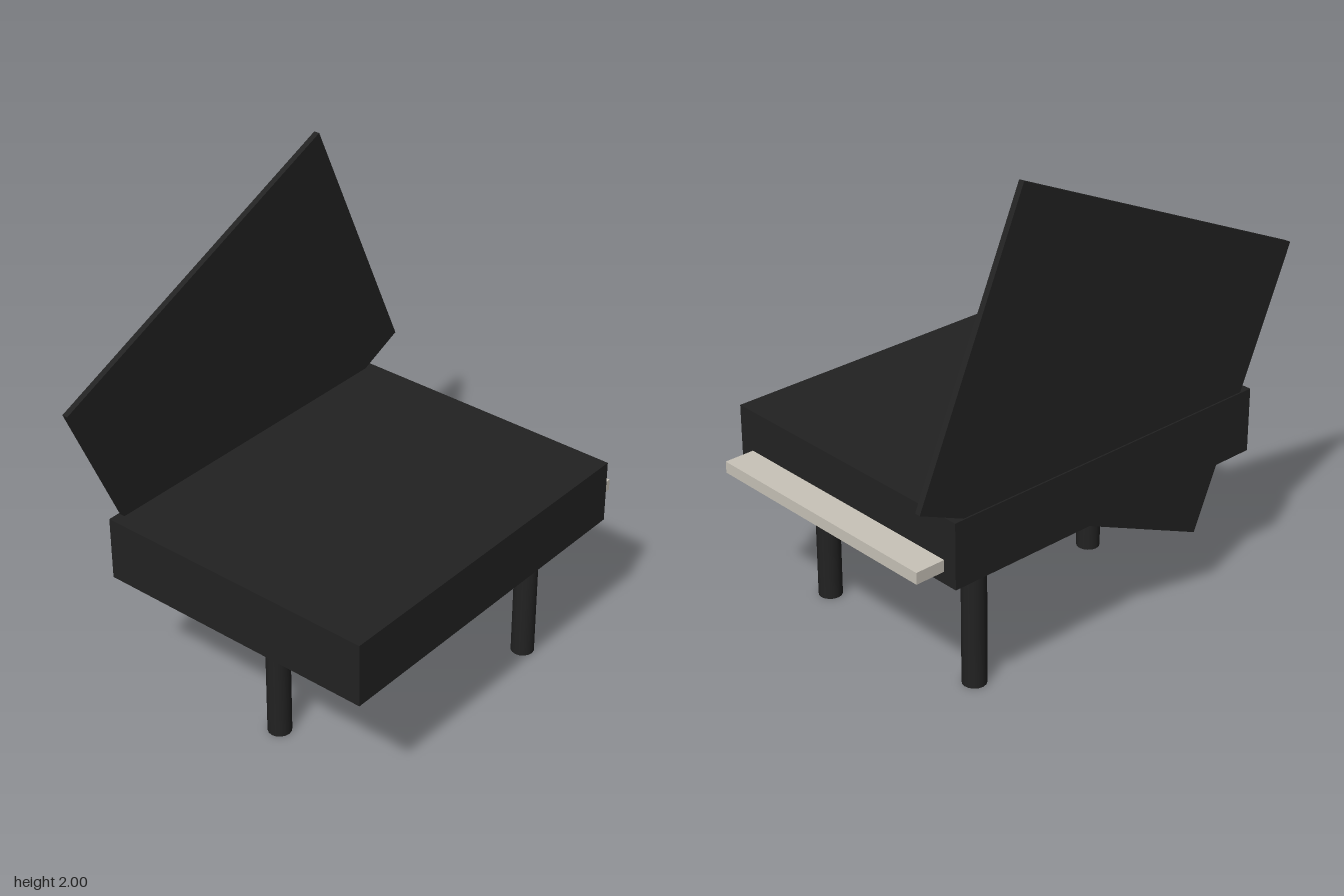
import * as THREE from 'three';

export function createModel() {
  const model = new THREE.Group();
  model.name = 'grandPiano';

  const black = new THREE.MeshStandardMaterial({ color: 0x222222 });
  black.name = 'black lacquer';
  const ivory = new THREE.MeshStandardMaterial({ color: 0xc8c3b8 });
  ivory.name = 'ivory';

  const add = (name, geometry, material, x, y, z) => {
    const mesh = new THREE.Mesh(geometry, material);
    mesh.name = name;
    mesh.position.set(x, y, z);
    model.add(mesh);
    return mesh;
  };

  // Case
  add('case', new THREE.BoxGeometry(1.505, 0.265, 1.21), black, 0.018, 0.713, 0);

  // Raised lid, tilted and sunk into the back edge of the case
  const lid = add('lid', new THREE.BoxGeometry(1.505, 1.17, 0.024), black, -0.002, 1.163, -0.587);
  lid.rotation.z = 0.416;

  // Keyboard, projecting from the side of the case
  add('keyboard', new THREE.BoxGeometry(0.24, 0.047, 1.085), ivory, 0.777, 0.653, -0.003);

  // Three legs: two under the keyboard end, one under the tail
  const legGeometry = new THREE.CylinderGeometry(0.048, 0.048, 0.582, 16);
  for (const [x, z] of [[0.52, 0.42], [0.52, -0.42], [-0.485, 0]]) {
    add('leg', legGeometry, black, x, 0.291, z);
  }

  return model;
}
